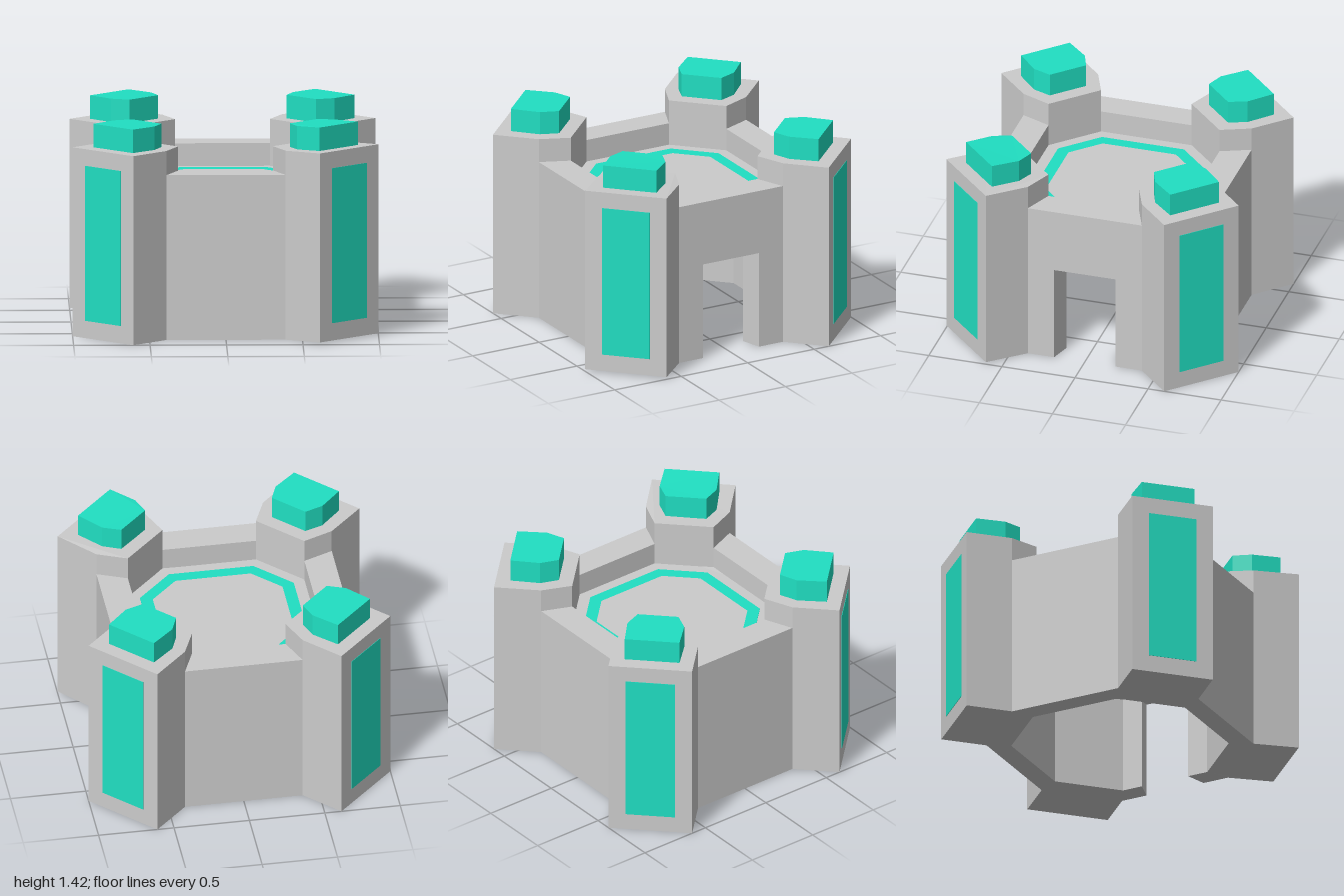
import * as THREE from 'three';

const GREY = new THREE.MeshStandardMaterial({ color: 0xcccccc });
const TEAL = new THREE.MeshStandardMaterial({ color: 0x20dfc2 });

// plan points are [x, z]; turn rotates them by quarter turns about y
function turn(points, quarter) {
  let result = points;
  for (let i = 0; i < quarter; i++) result = result.map(([x, z]) => [-z, x]);
  return result;
}
const allRound = (corner) => [0, 1, 2, 3].flatMap((q) => turn(corner, q));

// the front left tower leans up a touch at its outer side
function lift(geometry) {
  const p = geometry.attributes.position;
  for (let i = 0; i < p.count; i++) {
    const t = THREE.MathUtils.clamp((p.getX(i) + p.getZ(i) - 1.17) / 0.43, 0, 1);
    p.setY(i, p.getY(i) + 0.015 * t);
  }
  geometry.computeVertexNormals();
  return geometry;
}

// upright prism over a plan outline, with an optional hole
function prism(points, y0, y1, hole) {
  const toVectors = (list) => list.map(([x, z]) => new THREE.Vector2(x, -z));
  const shape = new THREE.Shape(toVectors(points));
  if (hole) shape.holes.push(new THREE.Path(toVectors(hole)));
  const geometry = new THREE.ExtrudeGeometry(shape, { depth: y1 - y0, bevelEnabled: false });
  geometry.rotateX(-Math.PI / 2).translate(0, y0, 0);
  return lift(geometry);
}

export function createModel() {
  const model = new THREE.Group();
  model.name = 'fort';
  const add = (name, geometry, material = GREY) => {
    const mesh = new THREE.Mesh(geometry, material);
    mesh.name = name;
    model.add(mesh);
  };

  const ceiling = 0.655, floor = 0.94, wallTop = 1.09, towerTop = 1.25;
  const outer = allRound([[0.78, 0.39], [1, 0.61], [0.61, 1], [0.39, 0.78]]);
  const chamber = allRound([[0.64, 0.31], [0.31, 0.64]]);

  // hollow lower body, open at the doorway with tapered jambs
  add('lowerBody', prism([
    [0.78, 0.21], ...outer, [0.78, -0.21], [0.64, -0.17],
    ...chamber.slice().reverse(), [0.64, 0.17],
  ], 0, ceiling));

  // sloping underside of the doorway
  const wedge = new THREE.Shape([
    new THREE.Vector2(0.78, ceiling), new THREE.Vector2(0.64, ceiling), new THREE.Vector2(0.64, 0.615),
  ]);
  add('doorLintel', new THREE.ExtrudeGeometry(wedge, { depth: 0.42, bevelEnabled: false })
    .translate(0, 0, -0.21));

  // solid deck over the chamber and the inlaid band on it
  add('deck', prism(outer, ceiling, floor));
  add('deckBand', prism(
    allRound([[0.51, 0.28], [0.28, 0.51]]), floor, floor + 0.004,
    allRound([[0.43, 0.25], [0.25, 0.43]])), TEAL);

  // parapets, towers, caps and tower panels, one of each per quarter
  const parapet = [[0.78, -0.39], [0.78, 0.39], [0.585, 0.31], [0.585, -0.31]];
  const tower = [[0.78, 0.39], [1, 0.61], [0.61, 1], [0.39, 0.78], [0.31, 0.585], [0.585, 0.31]];
  const cap = [[0.865, 0.61], [0.61, 0.865], [0.465, 0.73], [0.42, 0.61], [0.61, 0.42], [0.73, 0.465]];
  const panel = [[0.922, 0.692], [0.692, 0.922], [0.67, 0.9], [0.9, 0.67]];
  for (let q = 0; q < 4; q++) {
    add('parapet', prism(turn(parapet, q), floor, wallTop));
    add('tower', prism(turn(tower, q), floor, towerTop));
    add('towerCap', prism(turn(cap, q), towerTop, 1.405), TEAL);
    add('towerPanel', prism(turn(panel, q), 0.115, 1.14), TEAL);
  }
  return model;
}
